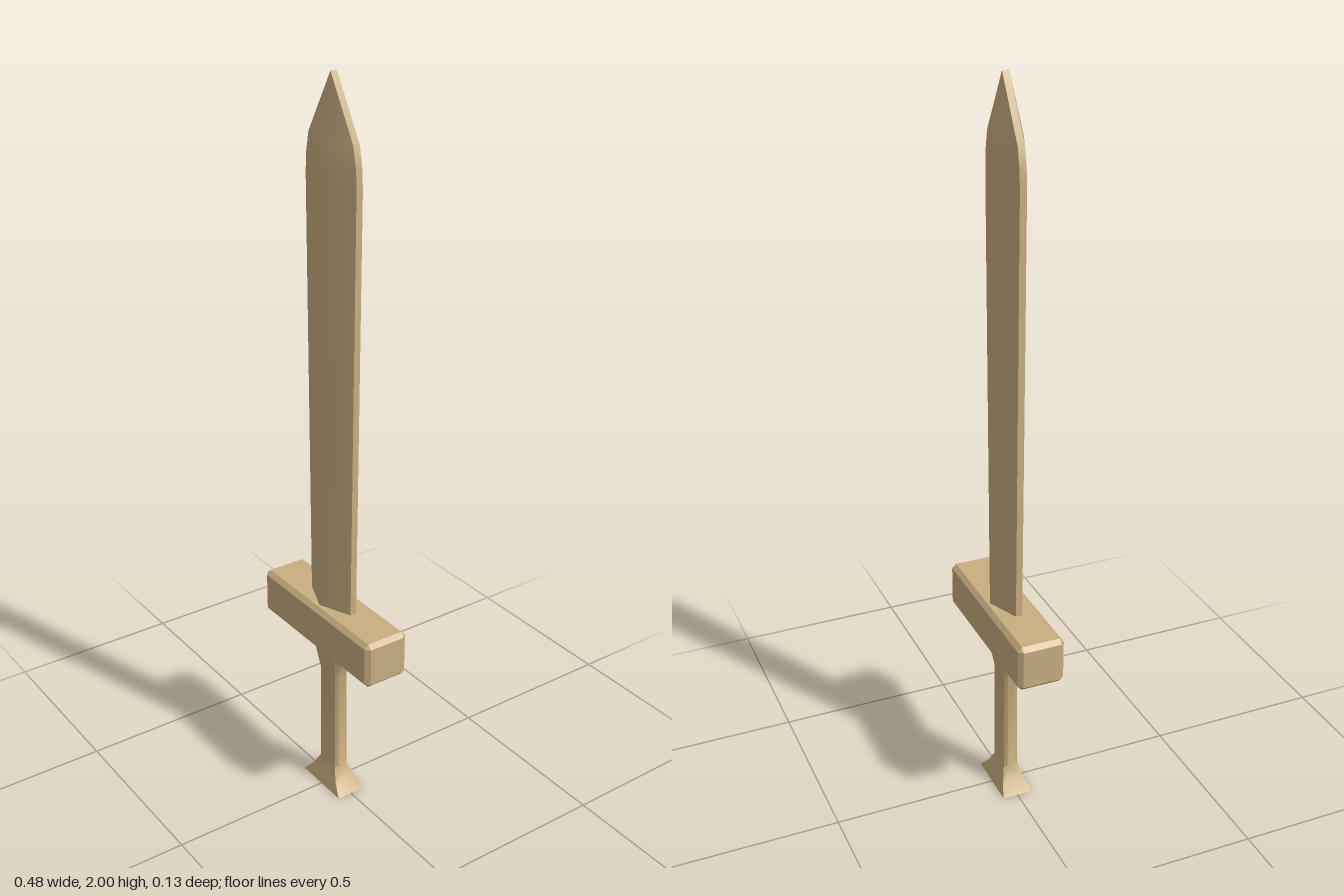
import * as THREE from 'three';
import { toCreasedNormals } from 'three/addons/utils/BufferGeometryUtils.js';

// Six-sided blade section: narrow flat edges at the sides, ridges front and back
const bladeRing = ([y, w, edge, ridge]) => [
  [w, y, -edge], [w, y, edge], [0, y, ridge], [-w, y, edge], [-w, y, -edge], [0, y, -ridge],
];

// Rectangular section with cut corners
const cutRing = ([y, w, d, cx, cz]) => [
  [w, y, -d + cz], [w, y, d - cz], [w - cx, y, d], [-w + cx, y, d],
  [-w, y, d - cz], [-w, y, -d + cz], [-w + cx, y, -d], [w - cx, y, -d],
];

// Skins a stack of rings and closes both ends; empty triangles are skipped
function loft(rings, crease) {
  const pos = [];
  const tri = (...pts) => {
    const [a, b, c] = pts.map((p) => new THREE.Vector3(...p));
    if (new THREE.Triangle(a, b, c).getArea() > 1e-8) pos.push(...pts.flat());
  };
  const n = rings[0].length;
  for (let i = 0; i < rings.length - 1; i++) {
    for (let j = 0; j < n; j++) {
      const k = (j + 1) % n;
      const a = rings[i][j], b = rings[i][k], c = rings[i + 1][j], d = rings[i + 1][k];
      tri(a, c, b);
      tri(b, c, d);
    }
  }
  const low = rings[0], top = rings[rings.length - 1];
  for (let j = 1; j < n - 1; j++) {
    tri(low[0], low[j], low[j + 1]);
    tri(top[0], top[j + 1], top[j]);
  }
  const geo = new THREE.BufferGeometry();
  geo.setAttribute('position', new THREE.Float32BufferAttribute(pos, 3));
  return toCreasedNormals(geo, crease);
}

export function createModel() {
  const group = new THREE.Group();
  const wood = new THREE.MeshStandardMaterial({ color: 0xc8ae80 });
  const add = (name, geo) => {
    const mesh = new THREE.Mesh(geo, wood);
    mesh.name = name;
    group.add(mesh);
  };

  // Blade: widens slightly upwards, then tapers to a chisel point
  add('blade', loft([
    [0.58, 0.09, 0.009, 0.046],
    [1.74, 0.104, 0.009, 0.047],
    [1.79, 0.102, 0.009, 0.047],
    [1.845, 0.091, 0.009, 0.046],
    [2.0, 0, 0.009, 0.009],
  ].map(bladeRing), 0.8));

  // Crossguard: long box with bevelled edges
  const b = 0.012;
  add('crossguard', loft([
    [0.465, 0.242 - b, 0.065 - b, 0, 0],
    [0.465 + b, 0.242, 0.065, b, b],
    [0.595 - b, 0.242, 0.065, b, b],
    [0.595, 0.242 - b, 0.065 - b, 0, 0],
  ].map(cutRing), 0.4));

  // Grip: slim bevelled shaft flaring into the pommel and the guard
  add('grip', loft([
    [0, 0.085, 0.042, 0, 0],
    [0.015, 0.072, 0.038, 0.001, 0.002],
    [0.035, 0.056, 0.031, 0.003, 0.004],
    [0.07, 0.04, 0.02, 0.006, 0.009],
    [0.37, 0.04, 0.019, 0.006, 0.009],
    [0.43, 0.058, 0.029, 0.016, 0.016],
    [0.47, 0.072, 0.037, 0.028, 0.022],
  ].map(cutRing), 0.5));

  return group;
}
